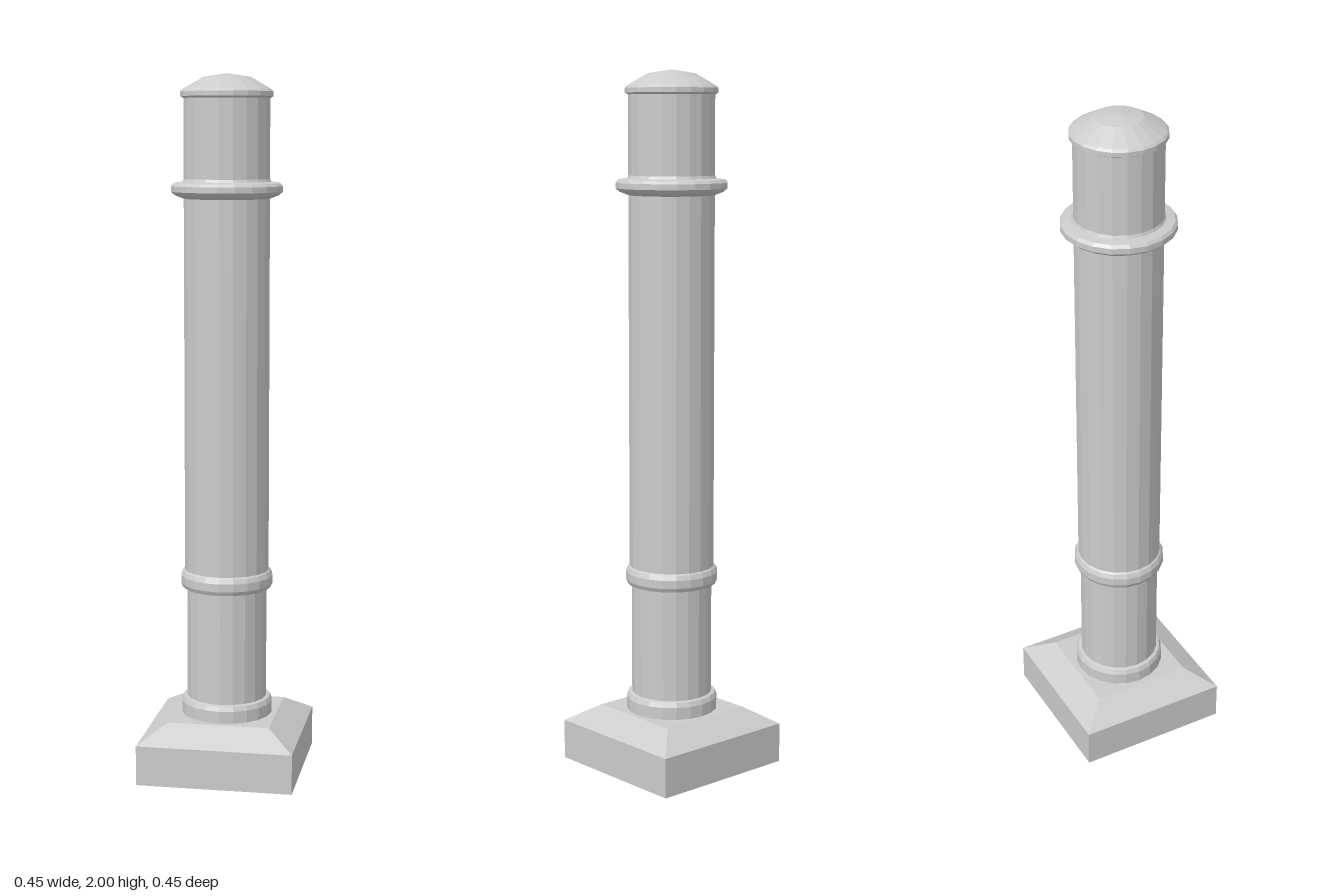
import * as THREE from 'three';

const material = new THREE.MeshStandardMaterial({ color: 0xcccccc, flatShading: true });
const SIDES = 20;

// Turned part from [radius, height] pairs, listed bottom to top
function turned(name, profile, sides = SIDES, phase = 0) {
  const points = profile.map(([r, y]) => new THREE.Vector2(r, y));
  const mesh = new THREE.Mesh(new THREE.LatheGeometry(points, sides, phase), material);
  mesh.name = name;
  return mesh;
}

export function createModel() {
  const group = new THREE.Group();
  group.name = 'bollard';

  // Square plinth with a sloped top: a four-sided lathe, half widths scaled to corners
  const corner = (half) => half * Math.SQRT2;
  group.add(turned('plinth', [
    [0, 0], [corner(0.224), 0], [corner(0.224), 0.115], [corner(0.147), 0.165], [0, 0.165],
  ], 4, Math.PI / 4));

  // Collar where the shaft meets the plinth
  group.add(turned('baseCollar', [
    [0.132, 0.165], [0.132, 0.2], [0.126, 0.213], [0.115, 0.216],
  ]));

  // Slimmer lower shaft
  group.add(turned('lowerShaft', [[0.116, 0.165], [0.116, 0.545]]));

  // Rounded band between the two shaft diameters
  group.add(turned('lowerBand', [
    [0.116, 0.538], [0.127, 0.54], [0.133, 0.552], [0.133, 0.575], [0.127, 0.588], [0.122, 0.592],
  ]));

  // Main shaft
  group.add(turned('mainShaft', [[0.122, 0.58], [0.122, 1.94]]));

  // Wide projecting ring near the top
  group.add(turned('upperRing', [
    [0.122, 1.655], [0.146, 1.664], [0.158, 1.674], [0.158, 1.69], [0.151, 1.698], [0.126, 1.702], [0.122, 1.71],
  ]));

  // Cap with a small lip and a shallow dome
  group.add(turned('cap', [
    [0.122, 1.932], [0.131, 1.937], [0.131, 1.95], [0.125, 1.956],
    [0.11, 1.965], [0.066, 1.99], [0, 2],
  ]));

  return group;
}
